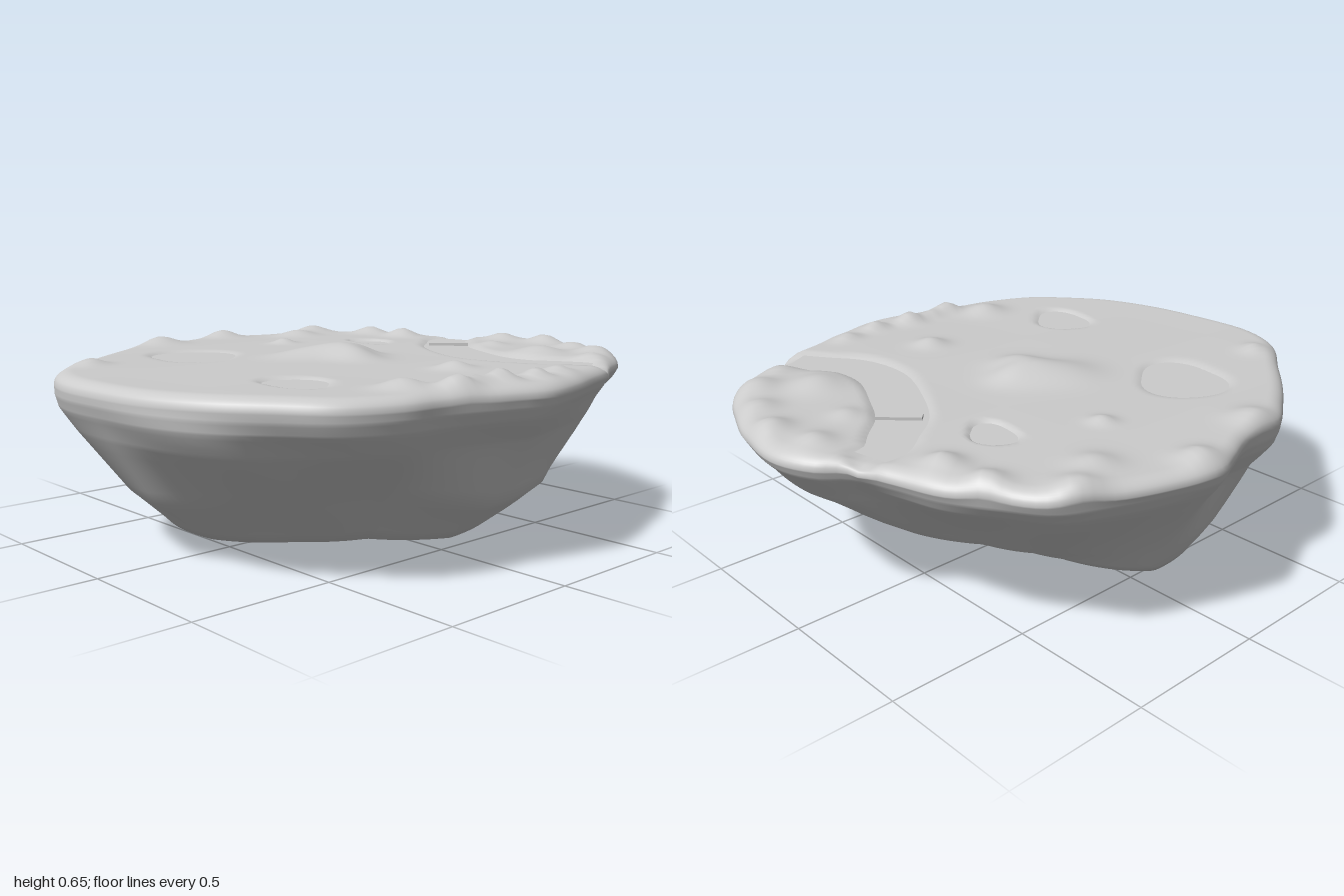
import * as THREE from 'three';

const GROUND = 0.6;
const SEG = 180;       // steps around the island
const TOP_RINGS = 68;  // rings across the ground
const SUB = 5;         // rings between hull cross-sections

// Plan outline of the rim (x, z), running from the left side to the front
const OUTLINE = [
  [0.91, -0.03], [0.88, 0.12], [0.82, 0.34], [0.8, 0.48], [0.72, 0.66], [0.6, 0.77], [0.45, 0.88],
  [0.25, 0.96], [0.05, 0.99], [-0.2, 0.99], [-0.36, 0.92], [-0.5, 0.76], [-0.62, 0.62], [-0.72, 0.48],
  [-0.81, 0.33], [-0.82, 0.16], [-0.87, 0.03], [-0.91, -0.08], [-0.87, -0.25], [-0.81, -0.42],
  [-0.74, -0.58], [-0.6, -0.68], [-0.45, -0.77], [-0.3, -0.82], [-0.15, -0.88], [-0.08, -0.95],
  [0.05, -1], [0.25, -0.98], [0.42, -0.92], [0.56, -0.85], [0.66, -0.74], [0.72, -0.6],
  [0.78, -0.5], [0.82, -0.37], [0.87, -0.22],
];

// Hull cross-sections, one value every 30 degrees
const UPPER_FRACTION = [0.9, 0.89, 0.92, 0.94, 0.92, 0.89, 0.91, 0.86, 0.84, 0.88, 0.89, 0.9];
const LOWER_RADIUS = [0.72, 0.65, 0.7, 0.79, 0.76, 0.69, 0.68, 0.57, 0.52, 0.56, 0.64, 0.73];
const LOWER_HEIGHT = [0.2, 0.26, 0.24, 0.2, 0.2, 0.2, 0.2, 0.2, 0.2, 0.19, 0.2, 0.2];
const BASE_RADIUS = [0.54, 0.42, 0.47, 0.57, 0.62, 0.61, 0.6, 0.46, 0.36, 0.3, 0.37, 0.56];
const BASE_HEIGHT = [0.05, 0.05, 0.05, 0.04, 0.04, 0.055, 0.07, 0.12, 0.14, 0.13, 0.13, 0.07];

// Mounds on the ground: x, z, radius, height
const MOUNDS = [
  [0, 0, 0.1, 0.038], [-0.08, 0.1, 0.11, 0.025], [0.11, 0.02, 0.08, 0.025], [0.02, -0.09, 0.07, 0.018],
  [0.49, -0.06, 0.055, 0.025], [-0.46, -0.12, 0.04, 0.02], [-0.37, 0.78, 0.05, 0.022],
  [0.67, 0.36, 0.07, 0.03], [0.77, 0.24, 0.05, 0.04], [0.77, 0.05, 0.05, 0.04], [0.79, -0.1, 0.045, 0.03],
  [0.76, -0.25, 0.045, 0.022], [0.76, 0.15, 0.04, 0.025],
  [-0.76, 0.25, 0.07, 0.028], [-0.83, -0.1, 0.06, 0.03], [-0.66, -0.36, 0.07, 0.025], [-0.73, -0.5, 0.07, 0.03],
  [-0.53, -0.66, 0.06, 0.03], [-0.36, -0.68, 0.06, 0.035],
  [0.02, -0.87, 0.06, 0.025], [0.2, -0.91, 0.06, 0.03], [0.38, -0.85, 0.06, 0.022], [0.54, -0.76, 0.07, 0.03],
  [0.42, -0.6, 0.09, 0.03], [0.62, -0.63, 0.05, 0.02], [0.13, -0.68, 0.05, 0.015],
];

// Ponds: x, z, half width, half depth
const PONDS = [[-0.38, 0.36, 0.165, 0.16], [0.38, 0.52, 0.12, 0.105], [-0.29, -0.43, 0.09, 0.075]];

const RIVER = new THREE.CatmullRomCurve3([
  [-0.165, -0.8], [-0.15, -0.73], [-0.08, -0.65], [0, -0.56], [0.15, -0.47], [0.35, -0.39],
  [0.5, -0.4], [0.61, -0.47], [0.7, -0.52],
].map(([x, z]) => new THREE.Vector3(x, 0, z)));
const RIVER_POINTS = RIVER.getPoints(80);

const { clamp, lerp, smoothstep } = THREE.MathUtils;
const riverHalfWidth = (u) => 0.055 + 0.022 * Math.sin(Math.PI * u);
const pondWobble = (a) => 1 + 0.08 * Math.sin(2 * a + 0.5) + 0.08 * Math.sin(3 * a);

// Read a cross-section table at any angle
function around(table, angle) {
  const f = ((angle / (Math.PI * 2) + 1) % 1) * table.length;
  const i = Math.floor(f) % table.length;
  return lerp(table[i], table[(i + 1) % table.length], f - Math.floor(f));
}

// Ground height with mounds added and water beds cut in
function groundHeight(x, z) {
  let y = GROUND + 0.003 * Math.sin(7 * x + 1) * Math.sin(6 * z);
  for (const [mx, mz, r, h] of MOUNDS) {
    y += h * Math.exp(-((x - mx) ** 2 + (z - mz) ** 2) / (r * r));
  }
  let bed = 0;
  for (const [px, pz, w, d] of PONDS) {
    const dx = (x - px) / w, dz = (z - pz) / d;
    bed = Math.max(bed, 1 - smoothstep(Math.hypot(dx, dz) / pondWobble(Math.atan2(dz, dx)), 0.75, 1.15));
  }
  RIVER_POINTS.forEach((p, i) => {
    const d = Math.hypot(x - p.x, z - p.z) / riverHalfWidth(i / 80);
    bed = Math.max(bed, 1 - smoothstep(d, 0.75, 1.5));
  });
  return lerp(y, GROUND - 0.02, bed);
}

// One column of points: centre of the ground, over the rim, down the hull to the lowest point
function column(rimX, rimZ) {
  const angle = Math.atan2(rimZ, rimX);
  const R = Math.hypot(rimX, rimZ), c = Math.cos(angle), s = Math.sin(angle);
  const points = [];
  for (let j = 0; j <= TOP_RINGS; j++) {
    const t = 1 - (1 - j / TOP_RINGS) ** 1.4;
    const x = rimX * t, z = rimZ * t;
    const lip = clamp((t - 0.94) / 0.06, 0, 1);
    points.push([x, groundHeight(x, z) - 0.04 * (1 - Math.sqrt(1 - lip * lip)), z]);
  }
  const at = (r, y) => [c * r, y, s * r];
  const base = at(around(BASE_RADIUS, angle), around(BASE_HEIGHT, angle));
  const tip = [0.12, 0, 0];
  const keys = [
    points[TOP_RINGS],
    at(R * (0.99 + 0.008 * s), 0.53),
    at(R * (0.965 + 0.02 * s), 0.49),
    at(R * around(UPPER_FRACTION, angle), 0.41),
    at(around(LOWER_RADIUS, angle), around(LOWER_HEIGHT, angle)),
    base,
    [lerp(base[0], tip[0], 0.75), 0.045, lerp(base[2], tip[2], 0.75)],
    tip,
  ];
  for (let k = 0; k < keys.length - 1; k++) {
    for (let n = 1; n <= SUB; n++) {
      const [x, y, z] = keys[k].map((v, a) => lerp(v, keys[k + 1][a], n / SUB));
      // Gentle chiselled unevenness, fading at the rim and the tip
      const fade = smoothstep(0.56 - y, 0, 0.12) * smoothstep(y, 0.04, 0.15);
      const push = 1 + 0.015 * fade * Math.sin(9 * x + 4 * y) * Math.cos(8 * z - 7 * y);
      points.push([x * push, y, z * push]);
    }
  }
  return points;
}

// Ground and hull share points and normals so the rim stays smooth
function islandGeometries() {
  const rim = new THREE.CatmullRomCurve3(OUTLINE.map(([x, z]) => new THREE.Vector3(x, 0, z)), true);
  const columns = rim.getSpacedPoints(SEG).slice(0, SEG).map((p) => column(p.x, p.z));
  const rows = columns[0].length;
  const ground = [], hull = [];
  for (let i = 0; i < SEG; i++) {
    const a = i * rows, b = ((i + 1) % SEG) * rows;
    for (let j = 0; j < rows - 1; j++) {
      const list = j < TOP_RINGS ? ground : hull;
      if (j > 0) list.push(a + j, b + j, a + j + 1);
      if (j < rows - 2) list.push(b + j, b + j + 1, a + j + 1);
    }
  }
  const whole = new THREE.BufferGeometry();
  whole.setAttribute('position', new THREE.Float32BufferAttribute(columns.flat(2), 3));
  whole.setIndex([...ground, ...hull]);
  whole.computeVertexNormals();
  // The centre and tip are repeated in every column
  const normals = whole.attributes.normal;
  for (let i = 0; i < SEG; i++) {
    normals.setXYZ(i * rows, 0, 1, 0);
    normals.setXYZ(i * rows + rows - 1, 0, -1, 0);
  }
  return [ground, hull].map((index) => {
    const g = new THREE.BufferGeometry();
    g.setAttribute('position', whole.attributes.position);
    g.setAttribute('normal', normals);
    g.setIndex(index);
    return g;
  });
}

// Flat water sheet from plan points (x, z)
function waterSheet(points) {
  const shape = new THREE.Shape(points.map(([x, z]) => new THREE.Vector2(x, -z)));
  return new THREE.ShapeGeometry(shape).rotateX(-Math.PI / 2).translate(0, GROUND - 0.009, 0);
}

export function createModel() {
  const model = new THREE.Group();
  model.name = 'floatingIsland';
  const material = new THREE.MeshStandardMaterial({ color: 0xcccccc });
  const waterMaterial = new THREE.MeshStandardMaterial({ color: 0xcccccc, side: THREE.DoubleSide });
  const add = (name, geometry, mat = material) => {
    const mesh = new THREE.Mesh(geometry, mat);
    mesh.name = name;
    model.add(mesh);
    return mesh;
  };

  const [ground, hull] = islandGeometries();
  add('ground', ground);
  add('rockUnderside', hull);

  // Ponds
  for (const [x, z, w, d] of PONDS) {
    add('pond', waterSheet(Array.from({ length: 40 }, (_, i) => {
      const a = (i / 40) * Math.PI * 2, k = pondWobble(a) * 1.02;
      return [x + Math.cos(a) * w * k, z + Math.sin(a) * d * k];
    })), waterMaterial);
  }

  // River
  const bank = (side) => RIVER_POINTS.map((p, i) => {
    const t = RIVER.getTangent(i / 80), w = side * riverHalfWidth(i / 80) * 1.15;
    return [p.x - t.z * w, p.z + t.x * w];
  });
  add('river', waterSheet([...bank(1), ...bank(-1).reverse()]), waterMaterial);

  // Plank bridge across the river
  const bridge = add('bridge', new THREE.BoxGeometry(0.15, 0.01, 0.03));
  bridge.position.set(0, GROUND + 0.002, -0.57);
  bridge.rotation.y = Math.PI / 4;
  return model;
}
